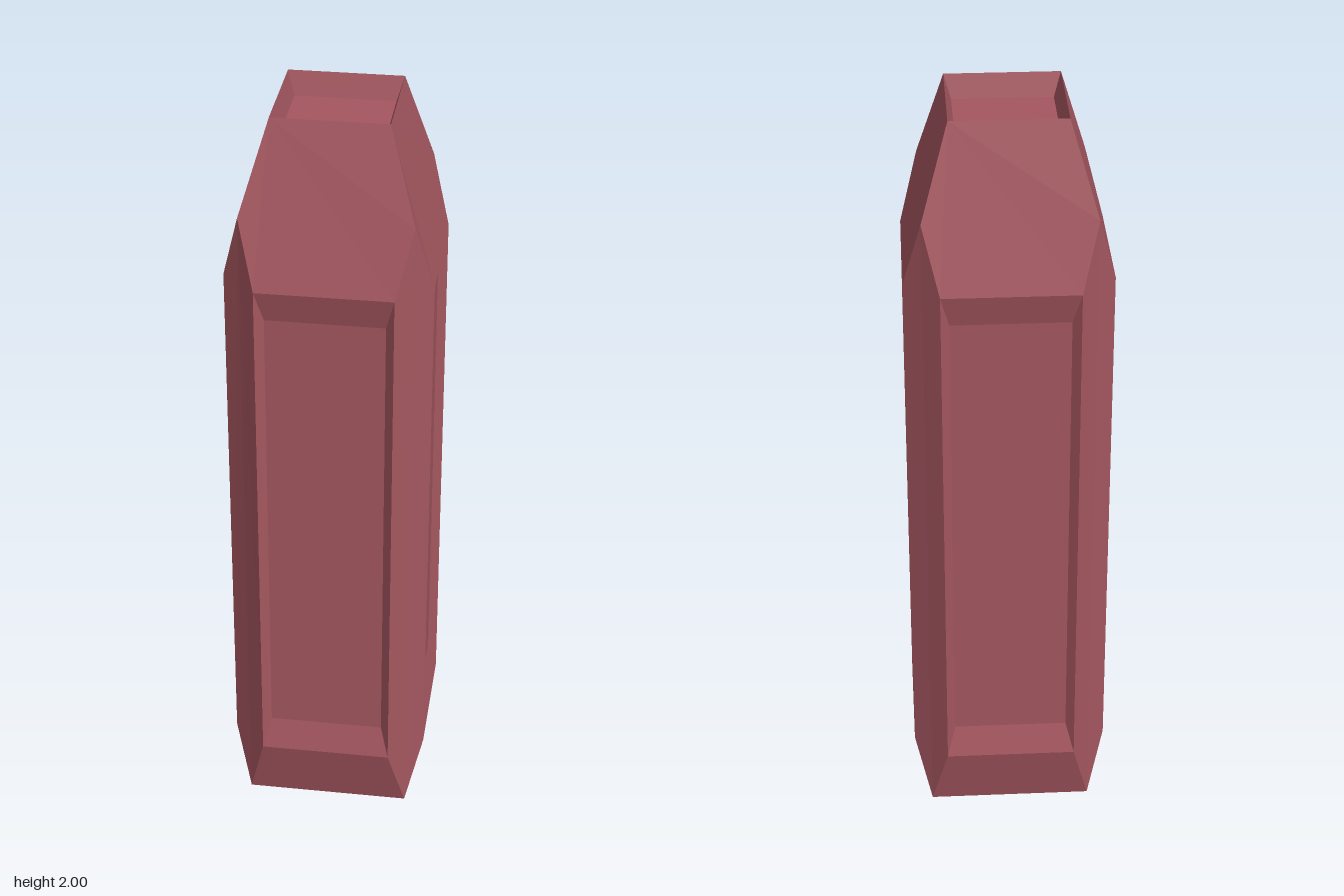
import * as THREE from 'three';

// Fans convex polygons (corners counter-clockwise from outside) into one flat-faced geometry
function polyGeometry(polys) {
  const pos = [];
  for (const p of polys)
    for (let i = 1; i < p.length - 1; i++) pos.push(...p[0], ...p[i], ...p[i + 1]);
  const g = new THREE.BufferGeometry();
  g.setAttribute('position', new THREE.Float32BufferAttribute(pos, 3));
  g.computeVertexNormals();
  return g;
}

// Horizontal square at height y with half width h, facing up or down
function square(h, y, up) {
  const c = [[-h, y, h], [h, y, h], [h, y, -h], [-h, y, -h]];
  return up ? c : c.reverse();
}

export function createModel() {
  const group = new THREE.Group();
  const material = new THREE.MeshStandardMaterial({ color: 0xa4565f, flatShading: true });

  const W = 0.26, F = 0.172;        // half width of the body, half width of its flat faces
  const lowY = 0.18, highY = 1.59;  // ends of the flat faces
  const top = 0.145, foot = 0.215;  // half widths of the top and the base
  const peak = 0.2145, peakY = 1.765; // where the corner bevel meets the top slopes
  const inset = 0.022, insetY = 0.085; // recess of the side panels
  const rimIn = 0.127, rimY = 1.94; // floor of the top recess

  const add = (name, polys, turn = 0) => {
    const mesh = new THREE.Mesh(polyGeometry(polys), material);
    mesh.name = name;
    mesh.rotation.y = turn;
    group.add(mesh);
  };

  // Four identical sides
  for (let i = 0; i < 4; i++) {
    const turn = i * Math.PI / 2;

    add('topSlope', [[
      [-top, 2, top], [-peak, peakY, peak], [-F, highY, W],
      [F, highY, W], [peak, peakY, peak], [top, 2, top],
    ]], turn);

    add('bottomSlope', [[
      [-foot, 0, foot], [foot, 0, foot], [F, lowY, W], [-F, lowY, W],
    ]], turn);

    // Sunken panel with its sloping frame
    const outer = [[-F, lowY, W], [F, lowY, W], [F, highY, W], [-F, highY, W]];
    const f = F - inset, z = W - inset, lo = lowY + insetY, hi = highY - insetY;
    const inner = [[-f, lo, z], [f, lo, z], [f, hi, z], [-f, hi, z]];
    const frame = outer.map((p, k) => {
      const n = (k + 1) % 4;
      return [p, outer[n], inner[n], inner[k]];
    });
    add('sidePanel', [inner, ...frame], turn);

    add('cornerBevel', [[
      [peak, peakY, peak], [F, highY, W], [F, lowY, W],
      [foot, 0, foot], [W, lowY, F], [W, highY, F],
    ]], turn);

    add('topRecessWall', [[
      [-top, 2, top], [top, 2, top], [rimIn, rimY, rimIn], [-rimIn, rimY, rimIn],
    ]], turn);
  }

  add('topRecessFloor', [square(rimIn, rimY, true)]);
  add('base', [square(foot, 0, false)]);
  return group;
}
